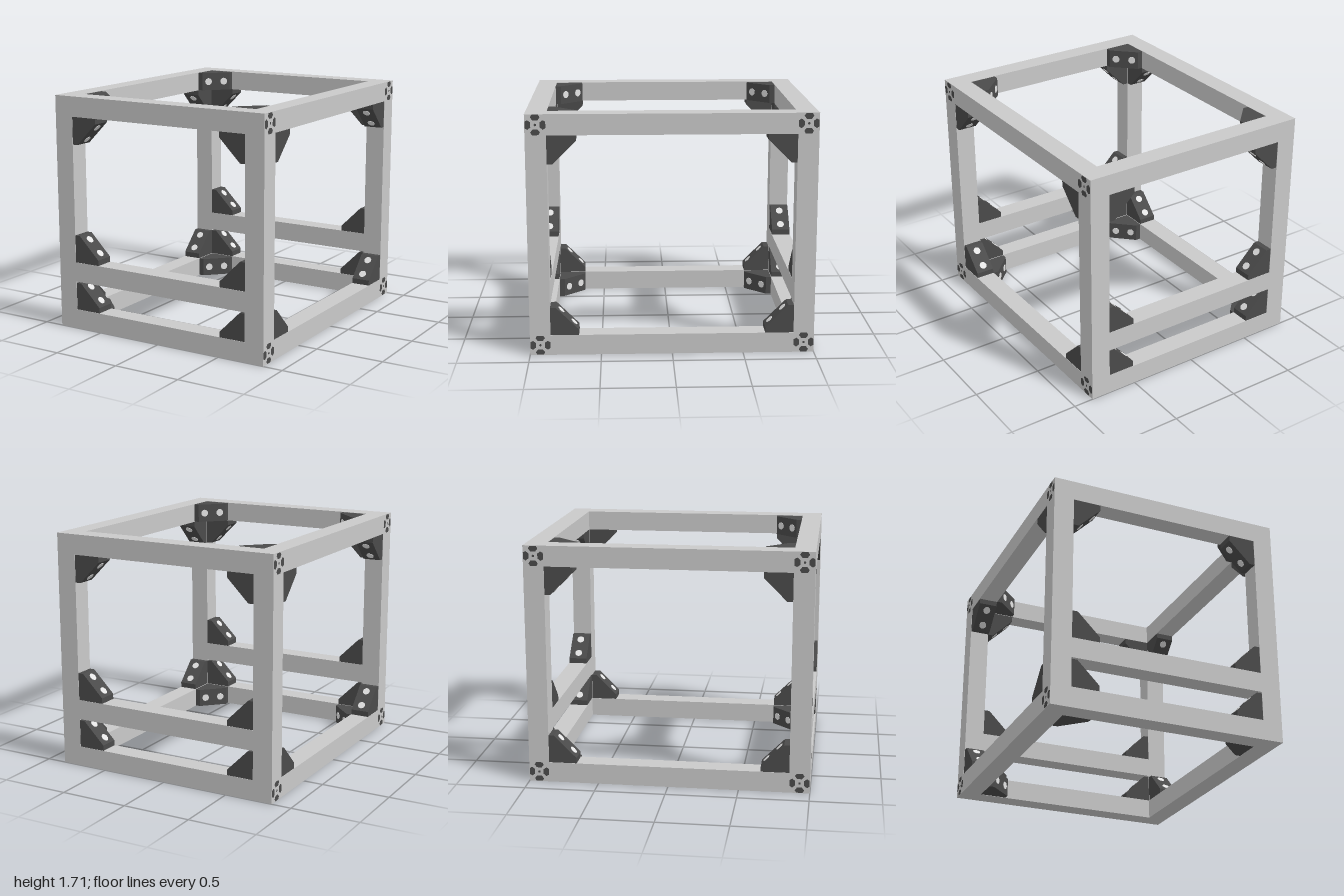
import * as THREE from 'three';

const T = 0.145;                        // bar thickness
const X = 0.855, Z = 1, H = 1.71;       // outer half width, half depth, height
const XI = X - T, ZI = Z - T;           // inner faces of the frame
const MID = 0.355;                      // underside of the middle rails

export function createModel() {
  const model = new THREE.Group();
  const aluminium = new THREE.MeshStandardMaterial({ color: 0xc9c9c9 });
  aluminium.name = 'aluminium';
  const darkPlastic = new THREE.MeshStandardMaterial({ color: 0x4b4b4b });
  darkPlastic.name = 'dark plastic';
  const boltSteel = new THREE.MeshStandardMaterial({ color: 0xe4e4e4 });
  boltSteel.name = 'bolt steel';

  const add = (parent, name, geometry, material, x = 0, y = 0, z = 0) => {
    const mesh = new THREE.Mesh(geometry, material);
    mesh.name = name;
    mesh.position.set(x, y, z);
    parent.add(mesh);
    return mesh;
  };

  // Frame bars
  const crossBar = new THREE.BoxGeometry(2 * X, T, T);
  const middleRail = new THREE.BoxGeometry(2 * XI, T, T);
  const sideBar = new THREE.BoxGeometry(T, T, 2 * ZI);
  const post = new THREE.BoxGeometry(T, H - 2 * T, T);
  const levels = [T / 2, H - T / 2];
  for (const s of [-1, 1]) {
    for (const y of levels) {
      add(model, 'crossBar', crossBar, aluminium, 0, y, s * (Z - T / 2));
      add(model, 'sideBar', sideBar, aluminium, s * (X - T / 2), y, 0);
    }
    add(model, 'middleRail', middleRail, aluminium, 0, MID + T / 2, s * (Z - T / 2));
    for (const sz of [-1, 1]) add(model, 'post', post, aluminium, s * (X - T / 2), H / 2, sz * (Z - T / 2));
  }

  // Slot pattern on the ends of the cross bars: four slots round a centre hole
  const slots = [0, 1, 2, 3].map((i) => {
    const a = i * Math.PI / 2;
    const points = [[0.031, -0.017], [0.052, -0.033], [0.07, -0.022], [0.07, 0.022], [0.052, 0.033], [0.031, 0.017]];
    return new THREE.Shape(points.map(([x, y]) =>
      new THREE.Vector2(x, y).rotateAround(new THREE.Vector2(), a)));
  });
  slots.push(new THREE.Shape().absarc(0, 0, 0.009, 0, Math.PI * 2));
  const endPattern = new THREE.ShapeGeometry(slots, 4);
  for (const sx of [-1, 1]) for (const sz of [-1, 1]) for (const y of levels) {
    add(model, 'barEndSlots', endPattern, darkPlastic, sx * (X + 0.0015), y, sz * (Z - T / 2))
      .rotation.y = sx * Math.PI / 2;
  }

  // Corner bracket: right angle at the origin, legs along local x and y
  const LEG = 0.2, TIP = 0.04, WIDTH = 0.14;
  const profile = new THREE.Shape(
    [[0, 0], [LEG, 0], [LEG, TIP], [TIP, LEG], [0, LEG]].map(([x, y]) => new THREE.Vector2(x, y)));
  const bracketBody = new THREE.ExtrudeGeometry(profile, { depth: WIDTH, bevelEnabled: false });
  bracketBody.translate(0, 0, -WIDTH / 2);
  const boltHead = new THREE.CylinderGeometry(0.028, 0.028, 0.006, 20);
  boltHead.rotateZ(-Math.PI / 4);

  const addBracket = (corner, legA, legB) => {
    const a = new THREE.Vector3(...legA), b = new THREE.Vector3(...legB);
    const bracket = new THREE.Group();
    bracket.name = 'cornerBracket';
    bracket.quaternion.setFromRotationMatrix(
      new THREE.Matrix4().makeBasis(a, b, new THREE.Vector3().crossVectors(a, b)));
    bracket.position.set(...corner);
    add(bracket, 'bracketBody', bracketBody, darkPlastic);
    const c = (LEG + TIP) / 2;
    for (const s of [-1, 1]) add(bracket, 'boltHead', boltHead, boltSteel, c + s * 0.045, c - s * 0.045, 0);
    model.add(bracket);
  };

  for (const sx of [-1, 1]) for (const sz of [-1, 1]) {
    const px = sx * (X - T / 2), pz = sz * (Z - T / 2);
    // Brackets in the front and back planes: bottom, above the middle rail, top
    for (const [y, dir] of [[T, 1], [MID + T, 1], [H - T, -1]]) {
      addBracket([sx * XI, y, pz], [-sx, 0, 0], [0, dir, 0]);
    }
    // Brackets in the side planes
    for (const [y, dir] of [[T, 1], [H - T, -1]]) {
      addBracket([px, y, sz * ZI], [0, 0, -sz], [0, dir, 0]);
    }
    // Flat brackets in the top and bottom planes, one corner left open
    if (sx > 0 && sz < 0) continue;
    for (const y of levels) addBracket([sx * XI, y, sz * ZI], [-sx, 0, 0], [0, 0, -sz]);
  }
  return model;
}
